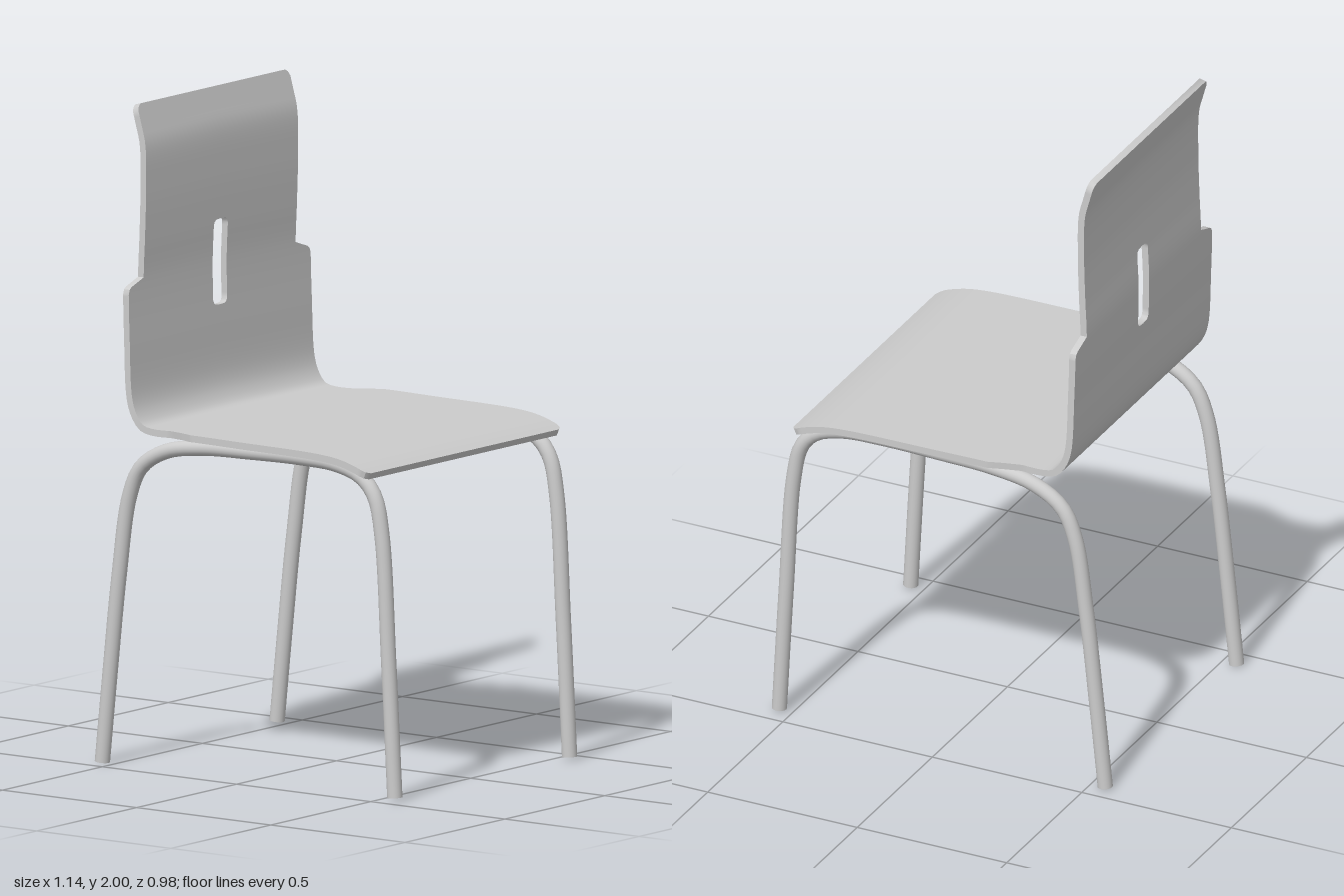
import * as THREE from 'three';
import { toCreasedNormals } from 'three/addons/utils/BufferGeometryUtils.js';

const material = new THREE.MeshStandardMaterial({ color: 0xcccccc });
const toCurve = pts => new THREE.CatmullRomCurve3(pts.map(([x, y]) => new THREE.Vector3(x, y, 0)));

// Linear lookup in a table of [key, value] rows
function lookup(table, k) {
  if (k <= table[0][0]) return table[0][1];
  for (let i = 1; i < table.length; i++) {
    const [k0, v0] = table[i - 1], [k1, v1] = table[i];
    if (k <= k1) return v0 + (v1 - v0) * (k - k0) / (k1 - k0);
  }
  return table[table.length - 1][1];
}

// One bent plywood sheet: back and seat, swept from the top edge to the front edge
function shellGeometry() {
  const N = 1000, half = 0.0105;
  const curve = toCurve([
    [-0.471, 1.997], [-0.455, 1.94], [-0.44, 1.88], [-0.437, 1.75], [-0.441, 1.6],
    [-0.446, 1.48], [-0.442, 1.3], [-0.432, 1.12], [-0.415, 1.07], [-0.388, 1.037],
    [-0.35, 1.027], [-0.2, 1.03], [0, 1.028], [0.3, 1.023], [0.38, 1.014], [0.44, 0.997], [0.475, 0.982],
  ]);
  const samples = curve.getSpacedPoints(N);
  const atY = y => samples.findIndex(p => p.y <= y);
  const atX = x => samples.findIndex(p => p.y < 1.1 && p.x >= x);

  // Half width along the sheet: shoulders, flared seat, rounded corners
  const widths = [
    [0, 0.362], [atY(1.991), 0.373], [atY(1.978), 0.38], [atY(1.478), 0.38],
    [atY(1.457), 0.44], [atY(1.45), 0.45], [atY(1.435), 0.455], [atX(-0.28), 0.457],
    [atX(-0.18), 0.491], [atX(0.452), 0.491], [atX(0.465), 0.485], [N, 0.47],
  ];
  // Half width of the hand slot
  const top = atY(1.602), bottom = atY(1.345);
  const slot = [
    [top - 1, 0], [top, 0.024], [top + 3, 0.031], [top + 8, 0.035],
    [bottom - 8, 0.035], [bottom - 3, 0.031], [bottom, 0.024], [bottom + 1, 0],
  ];

  const keys = new Set([...widths, ...slot].map(r => r[0]));
  for (let i = 0; i <= N; i += 10) keys.add(i);
  const stations = [...keys].sort((a, b) => a - b);

  const pos = [];
  for (const side of [1, -1]) {
    const quad = (a, b, c, d) => {
      const order = side > 0 ? [a, b, c, a, c, d] : [a, c, b, a, d, c];
      for (const p of order) pos.push(...p);
    };
    const rings = stations.map(k => {
      const p = samples[k], t = curve.getTangentAt(k / N);
      const w = lookup(widths, k), s = lookup(slot, k);
      const corner = (z, o) => [p.x - t.y * o, p.y + t.x * o, z * side];
      return { s, inF: corner(s, half), outF: corner(w, half), inB: corner(s, -half), outB: corner(w, -half) };
    });
    for (let i = 1; i < rings.length; i++) {
      const a = rings[i - 1], b = rings[i];
      quad(a.inF, a.outF, b.outF, b.inF);
      quad(a.inB, b.inB, b.outB, a.outB);
      quad(a.outF, a.outB, b.outB, b.outF);
      if (a.s + b.s > 0) quad(a.inF, b.inF, b.inB, a.inB);
    }
    const a = rings[0], b = rings[rings.length - 1];
    quad(a.inF, a.inB, a.outB, a.outF);
    quad(b.inF, b.outF, b.outB, b.inB);
  }
  const geo = new THREE.BufferGeometry();
  geo.setAttribute('position', new THREE.Float32BufferAttribute(pos, 3));
  return toCreasedNormals(geo, 0.6);
}

// One bent tube forming a back leg, seat rail and front leg, with closed feet
function legFrame() {
  const group = new THREE.Group(), radius = 0.023;
  const path = toCurve([
    [-0.547, 0.004], [-0.518, 0.28], [-0.484, 0.58], [-0.446, 0.82], [-0.402, 0.913], [-0.31, 0.97],
    [-0.175, 0.994], [0, 1.001], [0.2, 1.004], [0.33, 0.997], [0.42, 0.968], [0.468, 0.915],
    [0.495, 0.8], [0.52, 0.42], [0.543, 0.01],
  ]);
  const tube = new THREE.Mesh(new THREE.TubeGeometry(path, 96, radius, 20), material);
  tube.name = 'legTube';
  group.add(tube);
  for (const u of [0, 1]) {
    const foot = new THREE.Mesh(new THREE.CircleGeometry(radius, 20), material);
    const out = path.getTangentAt(u).multiplyScalar(u ? 1 : -1);
    foot.quaternion.setFromUnitVectors(new THREE.Vector3(0, 0, 1), out);
    foot.position.copy(path.getPointAt(u));
    foot.name = u ? 'frontFoot' : 'backFoot';
    group.add(foot);
  }
  return group;
}

export function createModel() {
  const chair = new THREE.Group();
  chair.name = 'chair';
  const shell = new THREE.Mesh(shellGeometry(), material);
  shell.name = 'seatAndBack';
  chair.add(shell);
  for (const side of [1, -1]) {
    const legs = legFrame();
    legs.name = side > 0 ? 'legFrameNear' : 'legFrameFar';
    legs.position.z = 0.437 * side;
    chair.add(legs);
  }
  return chair;
}
